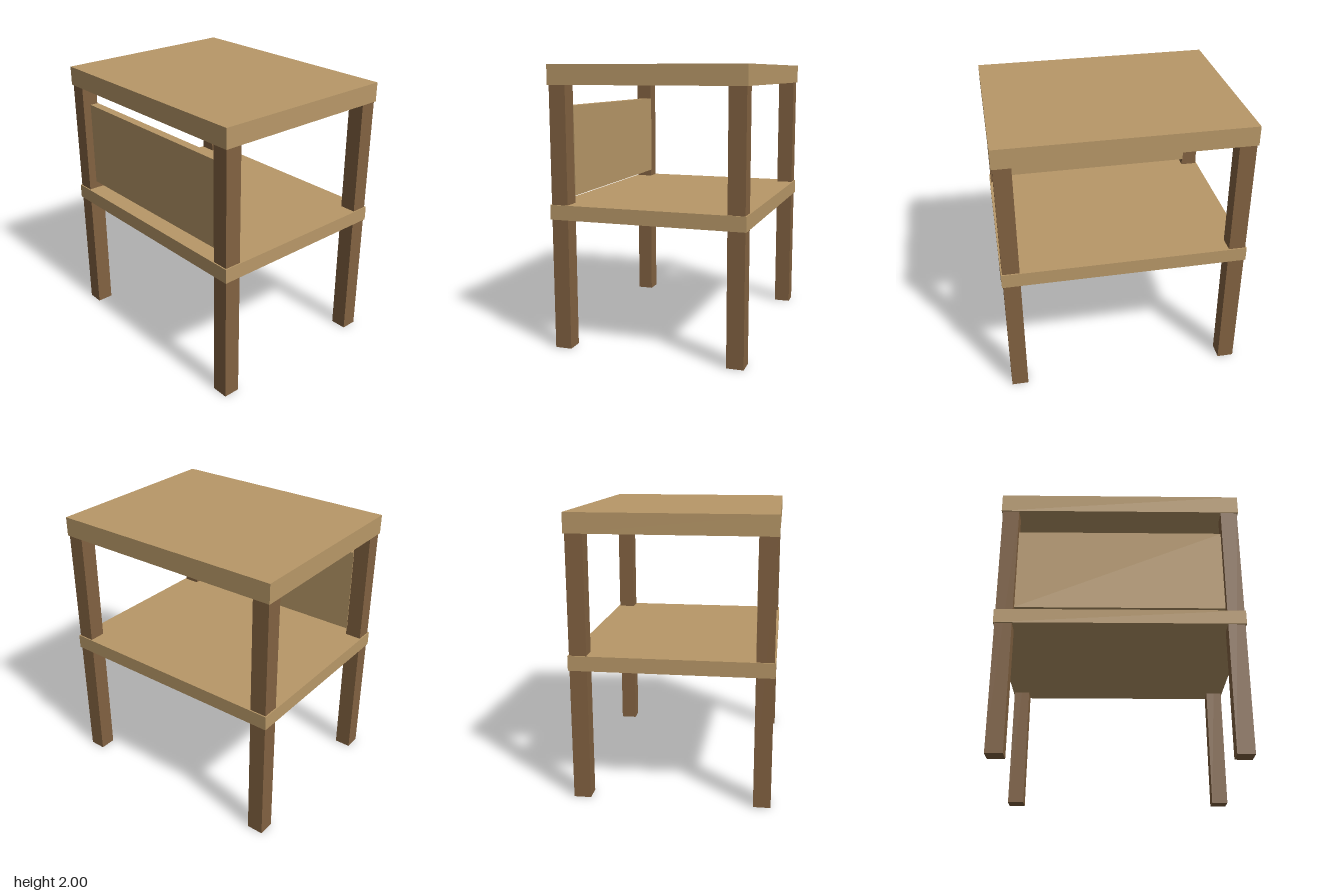
import * as THREE from 'three';

export function createModel() {
  const model = new THREE.Group();
  model.name = 'sideTable';
  const lightWood = new THREE.MeshStandardMaterial({ color: 0xb89868 });
  lightWood.name = 'lightWood';
  const darkWood = new THREE.MeshStandardMaterial({ color: 0x826241 });
  darkWood.name = 'darkWood';

  // Box given by its size, bottom height and horizontal centre
  function addBox(name, material, [w, h, d], x, bottom, z) {
    const mesh = new THREE.Mesh(new THREE.BoxGeometry(w, h, d), material);
    mesh.name = name;
    mesh.position.set(x, bottom + h / 2, z);
    model.add(mesh);
  }

  // Table top and middle shelf
  addBox('tableTop', lightWood, [1.75, 0.138, 1.4], 0, 1.862, 0);
  addBox('shelf', lightWood, [1.75, 0.104, 1.4], 0, 0.933, 0);

  // Front panel, set between the front legs
  addBox('frontPanel', lightWood, [1.5, 0.63, 0.065], 0, 1.09, 0.598);

  // Four square legs running from the floor to the table top
  for (const [side, sx] of [['Left', 1], ['Right', -1]]) {
    for (const [end, sz] of [['front', 1], ['back', -1]]) {
      addBox(`${end}${side}Leg`, darkWood, [0.12, 1.862, 0.12], sx * 0.806, 0, sz * 0.631);
    }
  }
  return model;
}
